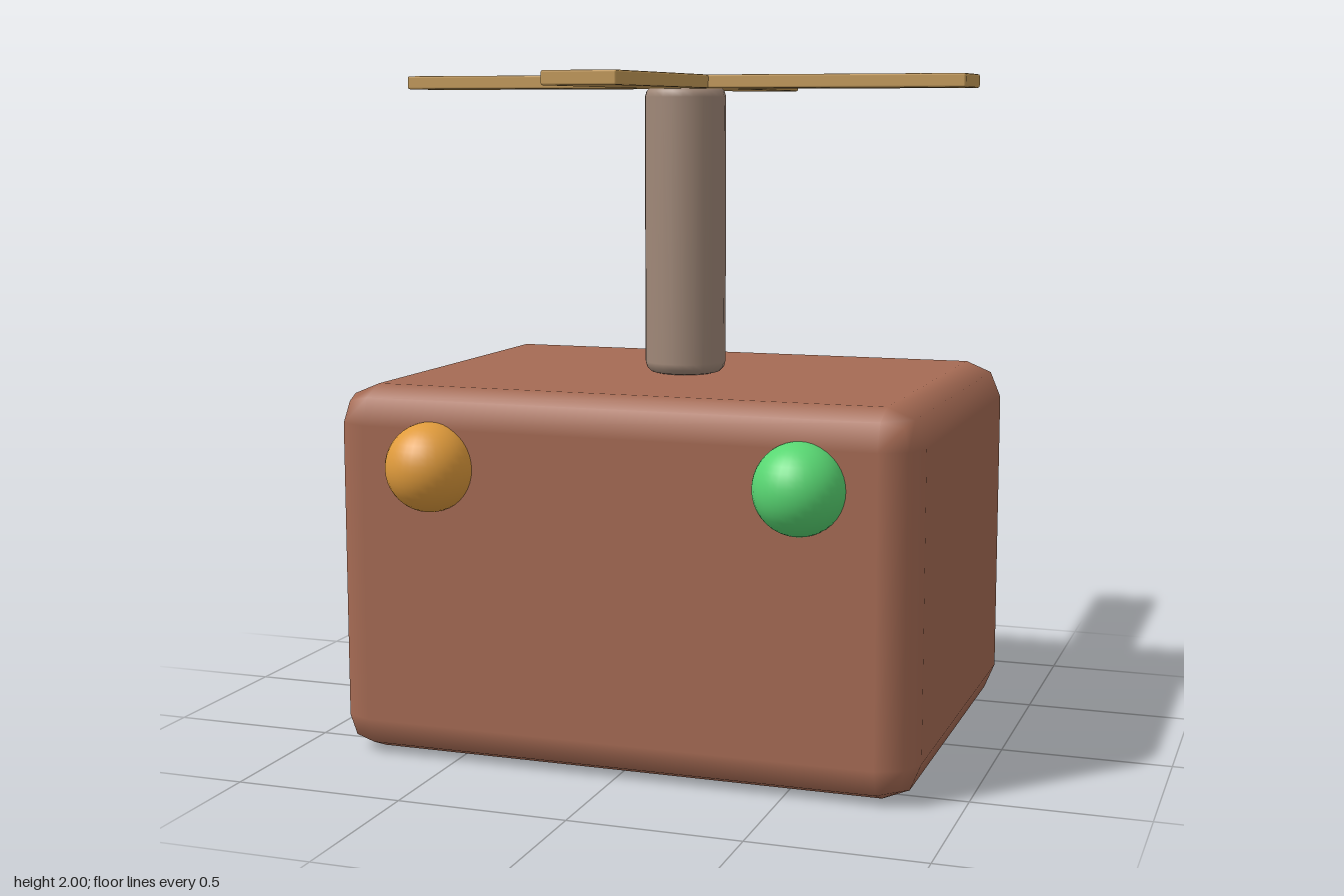
import * as THREE from 'three';
import { RoundedBoxGeometry } from 'three/addons/geometries/RoundedBoxGeometry.js';

const paint = (name, color) => {
  const m = new THREE.MeshStandardMaterial({ color });
  m.name = name;
  return m;
};

export function createModel() {
  const clay = paint('clay brown', 0xa66b54);
  const taupe = paint('taupe', 0xa08878);
  const tan = paint('tan', 0xc49a58);
  const amber = paint('amber', 0xe09b3c);
  const green = paint('green', 0x58d672);

  const model = new THREE.Group();
  model.name = 'rotorBox';
  const add = (name, geometry, material, parent = model) => {
    const mesh = new THREE.Mesh(geometry, material);
    mesh.name = name;
    parent.add(mesh);
    return mesh;
  };

  // Body with bevelled edges
  add('body', new RoundedBoxGeometry(1.75, 1.1, 1.32, 1, 0.11), clay).position.y = 0.55;

  // Lamps half sunk into the front
  const lamp = new THREE.SphereGeometry(0.13, 32, 20);
  add('rightLamp', lamp, amber).position.set(-0.55, 0.88, 0.66);
  add('leftLamp', lamp, green).position.set(0.55, 0.88, 0.66);

  // Mast with softened rims
  const r = 0.123, bevel = 0.035, bottom = 1.1, top = 1.97;
  const profile = [new THREE.Vector2(0, bottom)];
  for (let i = 0; i <= 3; i++) {
    const a = (i / 3) * Math.PI / 2;
    profile.push(new THREE.Vector2(r - bevel + bevel * Math.sin(a), bottom + bevel - bevel * Math.cos(a)));
  }
  for (let i = 0; i <= 3; i++) {
    const a = (i / 3) * Math.PI / 2;
    profile.push(new THREE.Vector2(r - bevel + bevel * Math.cos(a), top - bevel + bevel * Math.sin(a)));
  }
  profile.push(new THREE.Vector2(0, top));
  add('mast', new THREE.LatheGeometry(profile, 24), taupe);

  // Four flat rotor blades meeting at the centre
  const rotor = new THREE.Group();
  rotor.name = 'rotor';
  rotor.position.y = 1.98;
  model.add(rotor);
  const blade = new RoundedBoxGeometry(0.875, 0.04, 0.215, 1, 0.006);
  blade.translate(0.4375, 0, 0);
  for (let i = 0; i < 4; i++) {
    add('blade' + (i + 1), blade, tan, rotor).rotation.y = i * Math.PI / 2;
  }

  return model;
}
